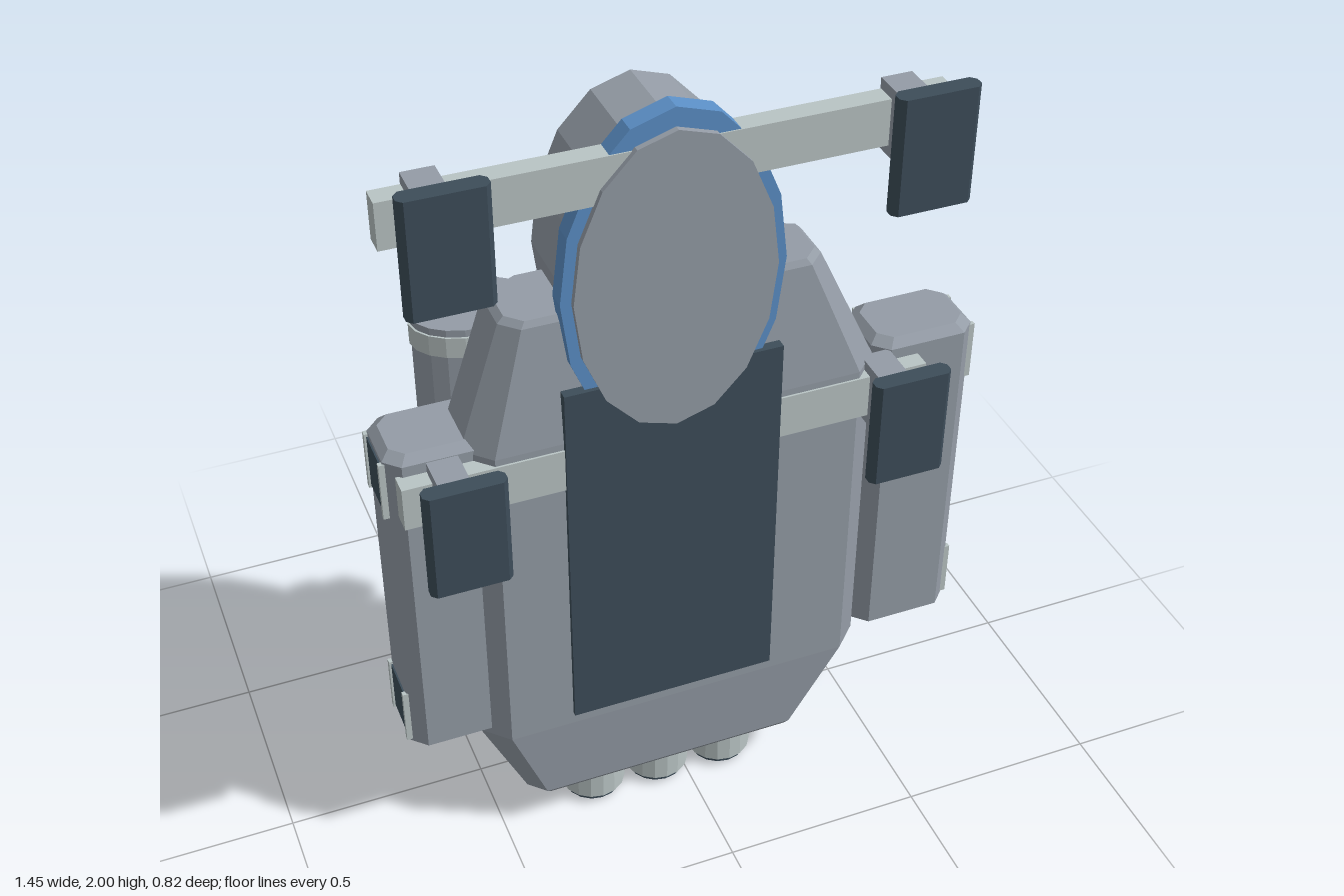
import * as THREE from 'three';

const mat = (name, color) => {
  const m = new THREE.MeshStandardMaterial({ color });
  m.name = name;
  m.flatShading = true;
  return m;
};

// Stack of eight-sided sections: [y, centreX, halfWidth, backZ, frontZ, frontChamfer, backChamferX, backChamferZ]
function loft(sections) {
  const pos = [], idx = [], n = 8;
  for (const [y, cx, w, zb, zf, f, bx, bz] of sections) {
    const half = [[w - f, zf], [w, zf - f], [w, zb + bz], [w - bx, zb]];
    const ring = [...half, ...half.slice().reverse().map(([x, z]) => [-x, z])];
    for (const [x, z] of ring) pos.push(cx + x, y, z);
  }
  for (let i = 0; i < sections.length - 1; i++) {
    for (let j = 0; j < n; j++) {
      const a = i * n + j, b = i * n + (j + 1) % n;
      idx.push(a, b, b + n, a, b + n, a + n);
    }
  }
  const top = (sections.length - 1) * n;
  for (let j = 1; j < n - 1; j++) {
    idx.push(0, j + 1, j);
    idx.push(top, top + j, top + j + 1);
  }
  const g = new THREE.BufferGeometry();
  g.setAttribute('position', new THREE.Float32BufferAttribute(pos, 3));
  g.setIndex(idx);
  const flat = g.toNonIndexed();
  flat.computeVertexNormals();
  return flat;
}

export function createModel() {
  const root = new THREE.Group();
  const grey = mat('hull grey', 0x949ca6);
  const light = mat('light grey', 0xb9c4c4);
  const dark = mat('dark slate', 0x3d4d59);
  const blue = mat('blue', 0x5b8fc6);
  const cyan = mat('cyan', 0x52b0ce);

  const add = (name, geo, material, parent = root) => {
    const m = new THREE.Mesh(geo, material);
    m.name = name;
    parent.add(m);
    return m;
  };
  // Box given by its limits on each axis
  const box = (name, material, x0, x1, y0, y1, z0, z1, parent) => {
    const g = new THREE.BoxGeometry(x1 - x0, y1 - y0, z1 - z0);
    g.translate((x0 + x1) / 2, (y0 + y1) / 2, (z0 + z1) / 2);
    return add(name, g, material, parent);
  };
  const group = (name) => {
    const g = new THREE.Group();
    g.name = name;
    root.add(g);
    return g;
  };
  const cx = -0.066;

  // Main hull, tapered at both ends
  add('hull', loft([
    [0.11, cx, 0.35, 0.045, 0.235, 0.03, 0.07, 0.04],
    [0.125, cx, 0.37, 0.035, 0.245, 0.04, 0.09, 0.05],
    [0.355, -0.046, 0.497, 0.022, 0.258, 0.06, 0.14, 0.06],
    [1.22, -0.046, 0.497, 0.022, 0.258, 0.06, 0.14, 0.06],
    [1.525, cx, 0.375, 0.042, 0.23, 0.04, 0.08, 0.04],
    [1.54, cx, 0.36, 0.05, 0.222, 0.035, 0.07, 0.035],
  ]), grey);

  // Oval head with a blue rim
  const oval = (name, material, rx, ry, z0, z1) => {
    const g = new THREE.CylinderGeometry(1, 1, z1 - z0, 16).rotateX(Math.PI / 2);
    g.scale(rx, ry, 1).translate(cx, 1.585, (z0 + z1) / 2);
    add(name, g, material);
  };
  oval('head', grey, 0.233, 0.37, 0.003, 0.275);
  oval('headRim', blue, 0.258, 0.415, 0.213, 0.26);

  // Long dark front panel
  box('frontPanel', dark, -0.325, 0.19, 0.39, 1.355, 0.24, 0.27);

  // Cross arms with a stem and pad at each end
  for (const y of [1.865, 1.148]) {
    const arms = group(y > 1.5 ? 'upperArm' : 'lowerArm');
    box('armBar', light, -0.695, 0.56, y - 0.055, y + 0.055, 0.213, 0.263, arms);
    for (const x of [-0.59, 0.452]) {
      box('padStem', grey, x - 0.036, x + 0.036, y - 0.08, y + 0.08, 0.21, 0.37, arms);
      add('pad', loft([
        [y - 0.137, x, 0.093, 0.367, 0.41, 0.012, 0.012, 0.012],
        [y + 0.135, x, 0.093, 0.367, 0.41, 0.012, 0.012, 0.012],
      ]), dark, arms);
    }
  }

  // Side pods with framed dark and blue plates
  for (const s of [-1, 1]) {
    const pod = group(s > 0 ? 'leftPod' : 'rightPod');
    const c = s * 0.585;
    add('podBody', loft([
      [0.355, c, 0.11, 0.05, 0.2, 0.03, 0.03, 0.03],
      [0.375, c, 0.13, 0.03, 0.22, 0.035, 0.035, 0.035],
      [1.23, c, 0.13, 0.03, 0.22, 0.035, 0.035, 0.035],
      [1.25, c, 0.11, 0.05, 0.2, 0.03, 0.03, 0.03],
    ]), grey, pod);
    for (const y of [1.15, 0.457]) {
      const side = (name, m, h, z0, z1, out) =>
        box(name, m, Math.min(s * 0.71, s * out), Math.max(s * 0.71, s * out), y - h, y + h, z0, z1, pod);
      side('sidePlate', dark, 0.068, 0.072, 0.178, 0.719);
      side('sideBracket', light, 0.075, 0.058, 0.072, 0.724);
      side('sideBracket', light, 0.075, 0.178, 0.19, 0.724);
      box('backPlate', blue, c - 0.083, c + 0.083, y - 0.045, y + 0.045, 0.022, 0.032, pod);
      for (const e of [-1, 1]) {
        const x = c + e * 0.09;
        box('backBracket', light, x - 0.007, x + 0.007, y - 0.07, y + 0.07, 0.018, 0.034, pod);
      }
    }
  }

  // Back tanks made of banded segments: three on one side, two on the other
  const drum = (name, m, x, y0, y1, grow, parent) => {
    const g = new THREE.CylinderGeometry(1, 1, y1 - y0, 20);
    g.scale(0.143 + grow, 1, 0.1 + grow).translate(x, (y0 + y1) / 2, -0.07);
    add(name, g, m, parent);
  };
  for (const [name, x, count] of [['rightTank', -0.422, 3], ['leftTank', 0.29, 2]]) {
    const tank = group(name);
    for (let i = 0; i < count; i++) {
      const y = 0.335 + i * 0.358, mid = y + 0.178;
      drum('tankSegment', grey, x, y, y + 0.356, 0, tank);
      drum('tankBand', light, x, y + 0.018, y + 0.07, 0.005, tank);
      drum('tankBand', light, x, y + 0.286, y + 0.338, 0.005, tank);
      box('tankPlate', blue, x - 0.085, x + 0.085, mid - 0.045, mid + 0.045, -0.18, -0.13, tank);
      for (const e of [-1, 1]) {
        const bx = x + e * 0.083;
        box('tankRail', light, bx - 0.009, bx + 0.009, mid - 0.11, mid + 0.11, -0.185, -0.12, tank);
      }
    }
  }

  // Back louvres
  const vents = group('backLouvres');
  for (const [x0, x1] of [[-0.385, -0.12], [-0.015, 0.305]]) {
    for (const y of [1.17, 0.98]) {
      for (const e of [-0.035, 0.035]) {
        box('louvre', light, x0, x1, y + e - 0.02, y + e + 0.02, -0.02, 0.04, vents);
      }
      box('louvreBase', grey, x0 + 0.01, x1 - 0.01, y - 0.05, y + 0.05, -0.005, 0.04, vents);
    }
  }

  // Tapered back box with a plate and an upright fin
  add('backBox', loft([
    [0.25, cx, 0.21, -0.105, 0.06, 0.01, 0.07, 0.09],
    [0.82, cx, 0.21, -0.105, 0.06, 0.01, 0.07, 0.09],
  ]), grey);
  add('backBoxPlate', loft([
    [0.3, cx, 0.165, -0.135, -0.1, 0.006, 0.01, 0.01],
    [0.77, cx, 0.165, -0.135, -0.1, 0.006, 0.01, 0.01],
  ]), light);
  box('fin', cyan, cx - 0.021, cx + 0.021, 0.39, 0.66, -0.413, -0.13);

  // Three nozzles under the hull
  const nozzles = group('nozzles');
  const ring = (name, m, x, r, y0, y1) => {
    const g = new THREE.CylinderGeometry(r, r, y1 - y0, 16);
    g.translate(x, (y0 + y1) / 2, 0.142);
    add(name, g, m, nozzles);
  };
  for (const i of [-1, 0, 1]) {
    const x = cx + i * 0.175;
    ring('nozzleNeck', dark, x, 0.07, 0.09, 0.13);
    ring('nozzle', light, x, 0.083, 0.025, 0.103);
    ring('nozzleLip', dark, x, 0.073, 0.008, 0.03);
    ring('nozzleEnd', grey, x, 0.062, 0, 0.01);
  }

  return root;
}
